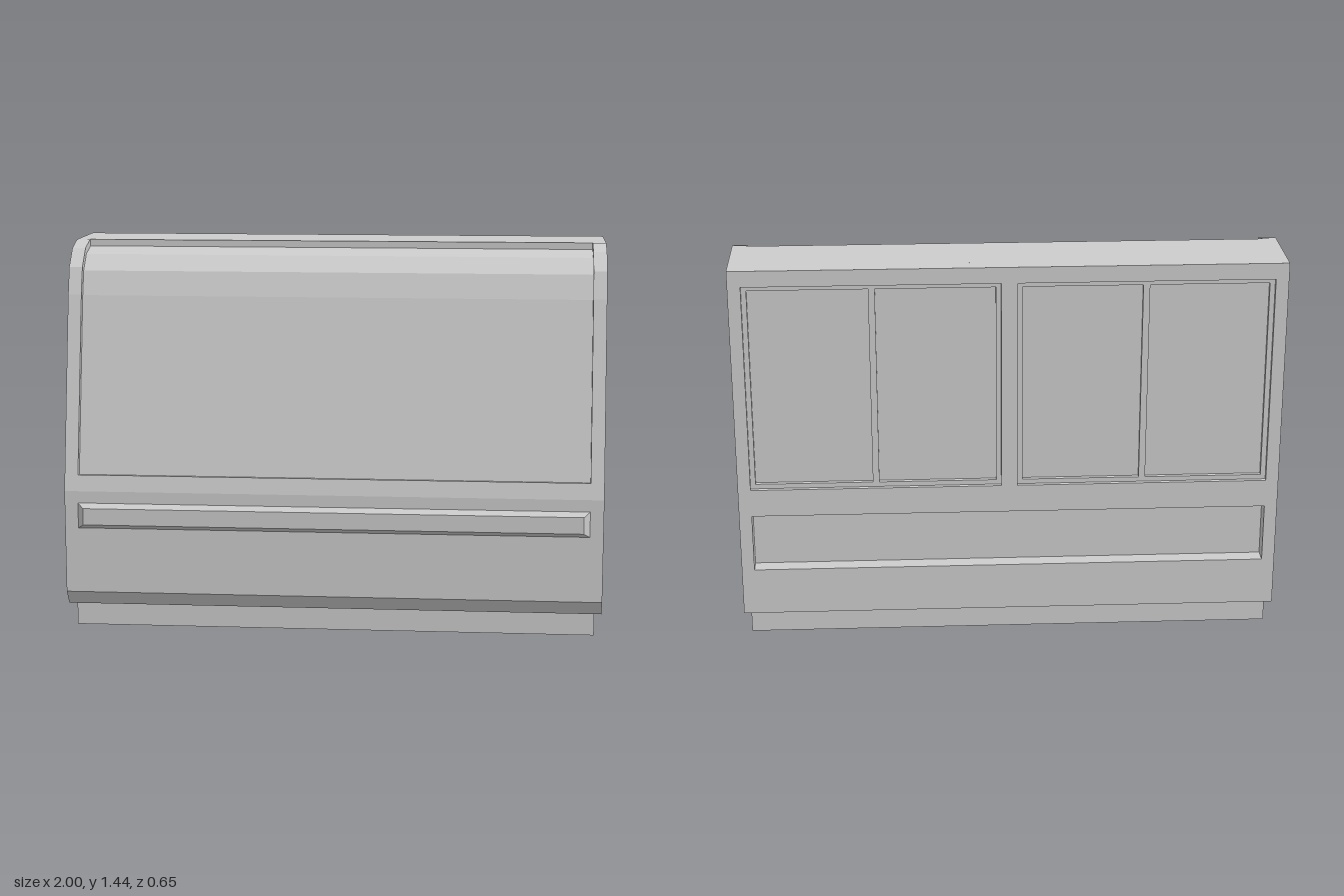
import * as THREE from 'three';

const grey = new THREE.MeshStandardMaterial({ color: 0xcccccc });
grey.name = 'painted grey';

function outline(points, Type = THREE.Shape) {
  return new Type(points.map(([a, b]) => new THREE.Vector2(a, b)));
}
const rect = (x0, x1, y0, y1) => [[x0, y0], [x1, y0], [x1, y1], [x0, y1]];

export function createModel() {
  const model = new THREE.Group();
  model.name = 'displayCounter';

  const add = (name, geometry) => {
    const mesh = new THREE.Mesh(geometry, grey);
    mesh.name = name;
    model.add(mesh);
    return mesh;
  };

  // Extrudes a (z, y) profile along x from x0 to x1
  const acrossX = (name, points, x0, x1, hole) => {
    const shape = outline(points);
    if (hole) shape.holes.push(outline(hole, THREE.Path));
    const g = new THREE.ExtrudeGeometry(shape, { depth: x1 - x0, bevelEnabled: false });
    g.rotateY(-Math.PI / 2).translate(x1, 0, 0);
    return add(name, g);
  };

  // Extrudes an (x, y) plate with holes along z from z0 to z1
  const plate = (name, points, holes, z0, z1) => {
    const shape = outline(points);
    holes.forEach((h) => shape.holes.push(outline(h, THREE.Path)));
    const g = new THREE.ExtrudeGeometry(shape, { depth: z1 - z0, bevelEnabled: false });
    return add(name, g.translate(0, 0, z0));
  };

  const BACK = -0.325, INNER_BACK = -0.265;
  const lower = [[0.265, 0.09], [0.305, 0.145], [0.305, 0.53]];
  const profile = (back) => [
    [back, 0.09], ...lower,
    [0.16, 1.25], [0.13, 1.35], [0.065, 1.415], [-0.02, 1.44], [back, 1.44],
  ];
  const sideWindow = [
    [-0.27, 0.59], [0.23, 0.59], [0.105, 1.24], [0.08, 1.325],
    [0.035, 1.365], [-0.02, 1.38], [-0.27, 1.38],
  ];

  // Plinth
  add('plinth', new THREE.BoxGeometry(1.95, 0.09, 0.532).translate(0, 0.045, -0.031));

  // Main body with the curved front glass set back
  acrossX('frontBody', [
    [INNER_BACK, 0.09], ...lower, [0.293, 0.59], [0.268, 0.587],
    [0.135, 1.245], [0.108, 1.335], [0.052, 1.392], [-0.03, 1.415],
    [-0.03, 1.44], [INNER_BACK, 1.44],
  ], -0.95, 0.95);

  // End walls: a solid slab and an outer frame around the side window
  for (const [side, s] of [['left', 1], ['right', -1]]) {
    const span = (a, b) => (s > 0 ? [a, b] : [-b, -a]);
    acrossX(side + 'EndWall', profile(INNER_BACK), ...span(0.95, 0.98));
    acrossX(side + 'WindowFrame', profile(BACK), ...span(0.98, 1), sideWindow);
  }

  // Back wall with two door openings and the lower tray recess
  const doorways = [rect(-0.953, -0.03, 0.595, 1.38), rect(0.03, 0.953, 0.595, 1.38)];
  plate('backWall', rect(-0.98, 0.98, 0.09, 1.44),
    [...doorways, rect(-0.953, 0.953, 0.27, 0.49)], BACK, INNER_BACK);

  // Sliding door frames and panels
  for (const [side, c] of [['left', 0.4915], ['right', -0.4915]]) {
    const panes = [
      rect(c - 0.443, c - 0.012, 0.613, 1.362),
      rect(c + 0.012, c + 0.443, 0.613, 1.362),
    ];
    plate(side + 'DoorFrame', rect(c - 0.4615, c + 0.4615, 0.595, 1.38), panes, -0.31, -0.29);
    plate(side + 'DoorPanels', rect(c - 0.4615, c + 0.4615, 0.595, 1.38), [], -0.295, -0.266);
  }

  // Front bumper rail, tapering towards its outer face
  const rail = new THREE.BoxGeometry(1.9, 0.095, 0.022);
  const p = rail.attributes.position;
  for (let i = 0; i < p.count; i++) {
    if (p.getZ(i) > 0) {
      p.setX(i, Math.sign(p.getX(i)) * 0.927);
      p.setY(i, Math.sign(p.getY(i)) * 0.031);
    }
  }
  rail.computeVertexNormals();
  add('bumperRail', rail.translate(0, 0.438, 0.316));

  return model;
}
